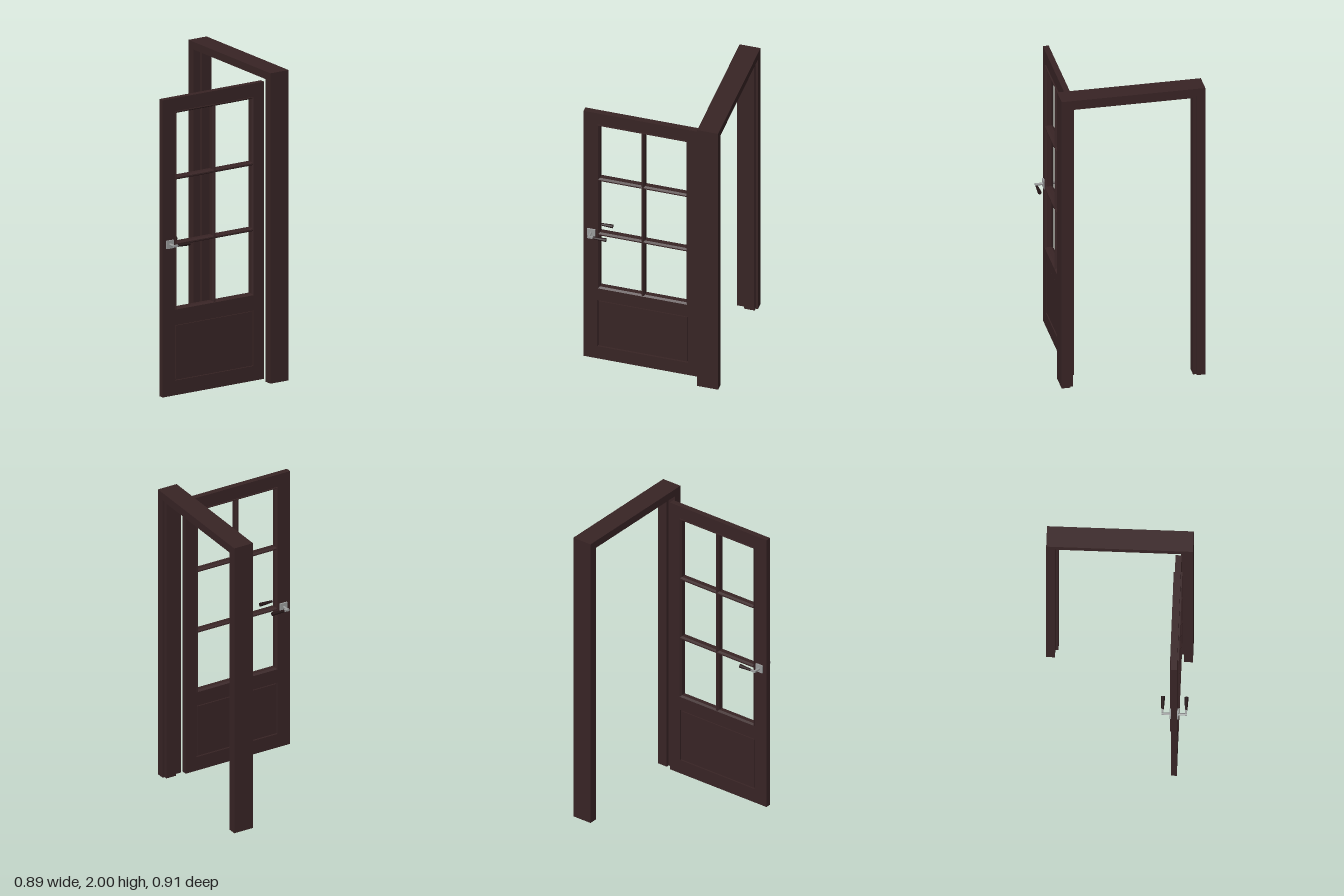
import * as THREE from 'three';

const wood = new THREE.MeshStandardMaterial({ color: 0x382425 });
wood.name = 'dark brown wood';
const metal = new THREE.MeshStandardMaterial({ color: 0x9a9c9c });
metal.name = 'grey metal';
const gripDark = new THREE.MeshStandardMaterial({ color: 0x241516 });
gripDark.name = 'dark grip';

const DOOR_Z = 0.3655; // middle plane of the open leaf
const WIN = { x0: -0.355, x1: 0.23, y0: 0.565, y1: 1.845 };
const PANEL = { x0: -0.355, x1: 0.23, y0: 0.11, y1: 0.47 };

function add(parent, name, geometry, material, x = 0, y = 0, z = 0) {
  const mesh = new THREE.Mesh(geometry, material);
  mesh.name = name;
  mesh.position.set(x, y, z);
  parent.add(mesh);
  return mesh;
}

function rect(Type, x0, y0, x1, y1) {
  const s = new Type();
  s.moveTo(x0, y0).lineTo(x1, y0).lineTo(x1, y1).lineTo(x0, y1).closePath();
  return s;
}

function extrude(shape, depth) {
  return new THREE.ExtrudeGeometry(shape, { depth, bevelEnabled: false });
}

// Upside-down U standing across z, extruded along x
function portal(outer, inner, top, innerTop, depth) {
  const s = new THREE.Shape();
  s.moveTo(-outer, 0).lineTo(-inner, 0).lineTo(-inner, innerTop).lineTo(inner, innerTop);
  s.lineTo(inner, 0).lineTo(outer, 0).lineTo(outer, top).lineTo(-outer, top).closePath();
  return extrude(s, depth).rotateY(Math.PI / 2);
}

// Bar along x with its front and back edges chamfered
function glazingBar(length) {
  const w = 0.012, n = 0.004, d = 0.027, m = 0.014;
  const pts = [[-d, -n], [-m, -w], [m, -w], [d, -n], [d, n], [m, w], [-m, w], [-d, n]];
  const s = new THREE.Shape(pts.map(([a, b]) => new THREE.Vector2(a, b)));
  return extrude(s, length).translate(0, 0, -length / 2).rotateY(Math.PI / 2);
}

// Rectangular moulding ring whose inner faces slope into the opening
function mouldingRing({ x0, y0, x1, y1 }) {
  // inset from the outer rectangle, z offset
  const profile = [[0, -0.027], [0, 0.027], [0.004, 0.027], [0.013, 0.014],
    [0.013, -0.014], [0.004, -0.027], [0, -0.027]];
  const pos = [];
  const corners = (i) => [[x0 + i, y0 + i], [x1 - i, y0 + i], [x1 - i, y1 - i], [x0 + i, y1 - i]];
  for (let k = 0; k < profile.length - 1; k++) {
    const [ia, za] = profile[k], [ib, zb] = profile[k + 1];
    const A = corners(ia), B = corners(ib);
    for (let c = 0; c < 4; c++) {
      const d = (c + 1) % 4;
      const a0 = [...A[c], za], a1 = [...A[d], za], b0 = [...B[c], zb], b1 = [...B[d], zb];
      pos.push(...a0, ...a1, ...b1, ...a0, ...b1, ...b0);
    }
  }
  const g = new THREE.BufferGeometry();
  g.setAttribute('position', new THREE.Float32BufferAttribute(pos, 3));
  g.computeVertexNormals();
  return g;
}

function makeFrame() {
  const frame = new THREE.Group();
  frame.name = 'doorFrame';
  add(frame, 'outerFrame', portal(0.455, 0.4, 2, 1.95, 0.135), wood, 0.31);
  add(frame, 'doorStop', portal(0.402, 0.38, 1.952, 1.93, 0.07), wood, 0.36);
  return frame;
}

// One lever handle, built outwards along +z from the leaf's middle plane
function makeHandle() {
  const h = new THREE.Group();
  h.name = 'leverHandle';
  add(h, 'rosette', new THREE.BoxGeometry(0.052, 0.052, 0.011), metal, -0.396, 0.995, 0.023);
  const spindle = new THREE.CylinderGeometry(0.008, 0.008, 0.054, 10).rotateX(Math.PI / 2);
  add(h, 'spindle', spindle, metal, -0.397, 0.995, 0.052);
  add(h, 'leverArm', new THREE.BoxGeometry(0.037, 0.012, 0.013), metal, -0.3865, 0.995, 0.073);
  const grip = new THREE.CylinderGeometry(0.0125, 0.008, 0.086, 10).rotateZ(-Math.PI / 2);
  add(h, 'leverGrip', grip, gripDark, -0.327, 0.995, 0.073);
  return h;
}

function makeDoor() {
  const door = new THREE.Group();
  door.name = 'doorLeaf';
  door.position.z = DOOR_Z;

  // Stiles and rails in one piece, with window and panel openings
  const leaf = rect(THREE.Shape, -0.447, 0.015, 0.31, 1.93);
  for (const o of [WIN, PANEL]) leaf.holes.push(rect(THREE.Path, o.x0, o.y0, o.x1, o.y1));
  add(door, 'stilesAndRails', extrude(leaf, 0.037), wood, 0, 0, -0.0185);

  // Lower panel: thin core with a raised field, leaving a groove around it
  const w = PANEL.x1 - PANEL.x0, hgt = PANEL.y1 - PANEL.y0;
  const px = (PANEL.x0 + PANEL.x1) / 2, py = (PANEL.y0 + PANEL.y1) / 2;
  add(door, 'panelCore', new THREE.BoxGeometry(w, hgt, 0.014), wood, px, py);
  add(door, 'panelField', new THREE.BoxGeometry(w - 0.016, hgt - 0.016, 0.031), wood, px, py);

  // Window moulding and glazing bars
  add(door, 'windowMoulding', mouldingRing(WIN), wood);
  const wx = (WIN.x0 + WIN.x1) / 2, wy = (WIN.y0 + WIN.y1) / 2;
  const upright = glazingBar(WIN.y1 - WIN.y0 - 0.016).rotateZ(Math.PI / 2);
  add(door, 'uprightBar', upright, wood, wx, wy);
  for (const y of [0.99, 1.415]) {
    add(door, 'crossBar', glazingBar(WIN.x1 - WIN.x0 - 0.016), wood, wx, y);
  }

  // Handles on both faces
  const front = makeHandle();
  const back = makeHandle();
  back.name = 'backLeverHandle';
  back.scale.z = -1;
  door.add(front, back);
  return door;
}

export function createModel() {
  const model = new THREE.Group();
  model.name = 'openGlazedDoor';
  model.add(makeFrame(), makeDoor());
  return model;
}
